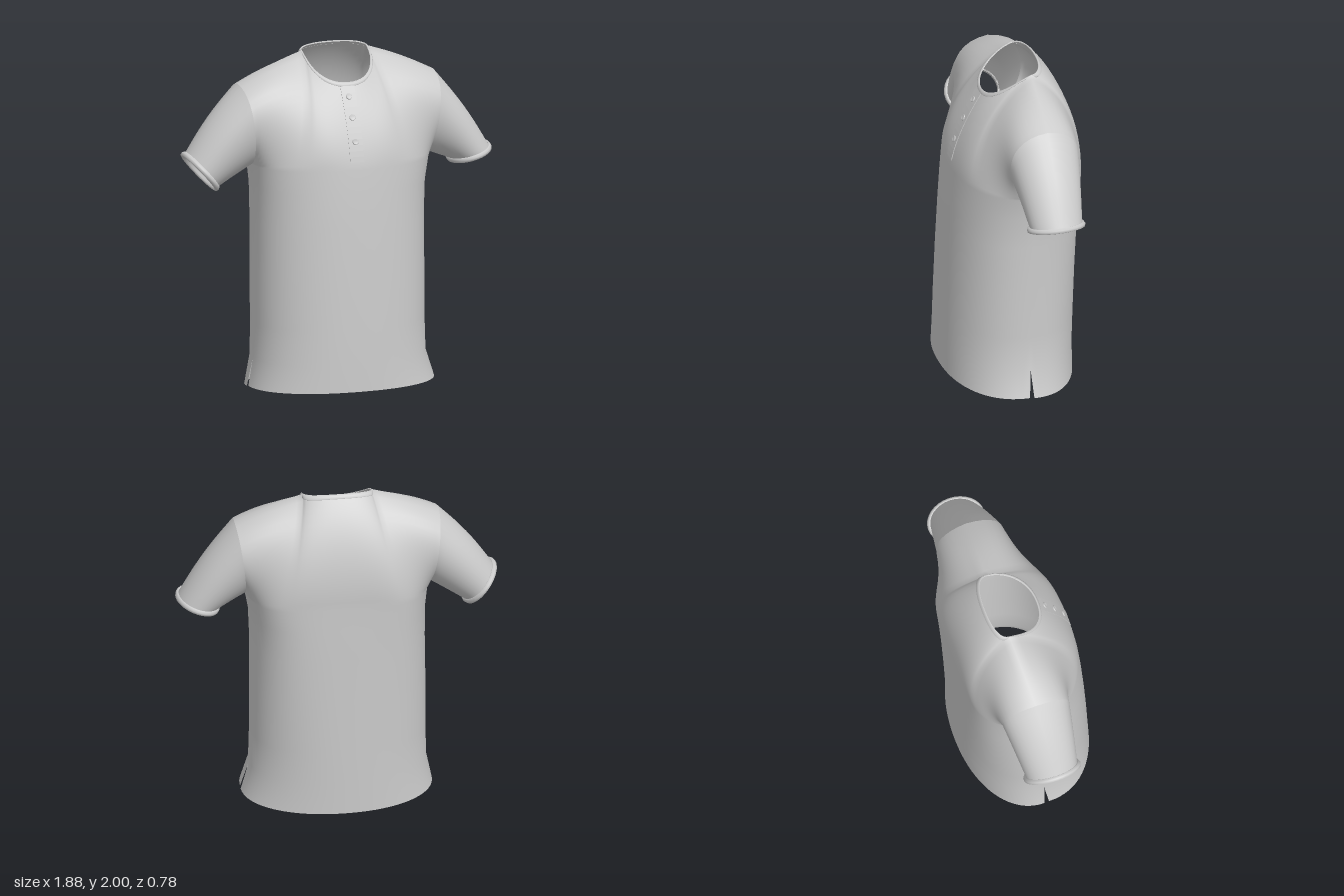
import * as THREE from 'three';
import { mergeGeometries, mergeVertices } from 'three/addons/utils/BufferGeometryUtils.js';

const fabric = new THREE.MeshStandardMaterial({ color: 0xcccccc, side: THREE.DoubleSide });
const { lerp, smoothstep } = THREE.MathUtils;
const V = (x, y, z) => new THREE.Vector3(x, y, z);

// Surface of (nu x nv) cells through f(i, j); flip reverses the facing
function grid(nu, nv, f, flip = false) {
  const pos = [], idx = [];
  for (let j = 0; j <= nv; j++) for (let i = 0; i <= nu; i++) pos.push(...f(i, j).toArray());
  for (let j = 0; j < nv; j++) for (let i = 0; i < nu; i++) {
    const a = j * (nu + 1) + i, b = a + 1, c = a + nu + 1, d = c + 1;
    idx.push(...(flip ? [a, d, b, a, c, d] : [a, b, d, a, d, c]));
  }
  const g = new THREE.BufferGeometry();
  g.setAttribute('position', new THREE.Float32BufferAttribute(pos, 3));
  g.setIndex(idx);
  return g;
}

// Weld coincident points so that normals run smoothly across seams
function smooth(...geos) {
  const g = mergeVertices(mergeGeometries(geos), 1e-4);
  g.computeVertexNormals();
  return g;
}

function add(group, name, geometry) {
  const mesh = new THREE.Mesh(geometry, fabric);
  mesh.name = name;
  group.add(mesh);
  return mesh;
}

// Torso rows: height, half width, front depth, back depth, sideways shift
const ROWS = [
  [0.0, 0.56, 0.4, 0.37, -0.007],
  [0.19, 0.518, 0.398, 0.373, -0.015],
  [0.4, 0.513, 0.392, 0.376, -0.015],
  [0.7, 0.513, 0.38, 0.378, -0.013],
  [1.0, 0.51, 0.365, 0.38, -0.01],
  [1.2, 0.515, 0.352, 0.381, -0.006],
  [1.34, 0.535, 0.338, 0.38, 0],
];
const NECK = 0.4; // share of the columns that end at the neckline
const COLS = 40, YOKE = 16;

// Body point: s runs -1..1 across the panel
function bodyPoint(front, s, row) {
  const [y, w, zf, zb, cx] = ROWS[row];
  const th = s * Math.PI / 2, e = front ? 0.9 : lerp(0.95, 0.8, y / 1.34);
  const c = Math.max(0, Math.cos(th)), sn = Math.sin(th);
  const x = cx + w * Math.sign(sn) * Math.abs(sn) ** e;
  const depth = Math.abs(s) > 0.999 ? 0 : c ** e;
  const blades = 0.035 * (y / 1.34) ** 2 * Math.sin(2 * th) ** 2;
  const z = (front ? zf * depth : -zb * depth - blades) - 0.03 * (y / 1.34) * (1 - depth);
  if (row > 0) return V(x, y, z);
  // hem, with the panels parted at the side slits
  const slit = 0.013 * (1 - depth);
  return front ? V(x, 0.025 + 0.008 * depth, z + slit) : V(x, 0.02 * (1 - depth), z - slit);
}

// Neckline and shoulder seam
function topPoint(front, s) {
  const a = Math.abs(s), sg = Math.sign(s);
  if (a <= NECK) {
    const p = s / NECK * Math.PI / 2, c = Math.max(0, Math.cos(p)), sn = Math.sin(p);
    const x = 0.2 * Math.sign(sn) * Math.abs(sn) ** 0.9;
    return front ? V(x, 1.975 - 0.155 * c, -0.1 + 0.24 * c ** 0.8)
      : V(x, 1.975 + 0.02 * c, -0.1 - 0.08 * c ** 0.8);
  }
  const k = (a - NECK) / (1 - NECK);
  return V(sg * lerp(0.2, 0.6, k), lerp(1.975, 1.81, k) + 0.012 * Math.sin(Math.PI * k), lerp(-0.1, -0.08, k));
}

// Chest and shoulder blades: curve from the armpit row up to the top edge,
// turning into half of a rounded armhole at the sides
function yokePoint(front, s, t) {
  const a = Math.abs(s), p = bodyPoint(front, s, ROWS.length - 1), q = topPoint(front, s);
  const k = lerp(front ? 0.44 : 0.62, 0.52, a);
  const c = V((p.x + q.x) / 2, lerp(p.y, q.y, k), front ? lerp(0.31, 0.33, a) : lerp(-0.41, -0.44, a));
  const round = smoothstep(a, 0.15, 1);
  const c1 = p.clone().lerp(c, 2 / 3)
    .lerp(V(lerp(p.x, q.x, 0.15), lerp(p.y, q.y, 0.06), front ? 0.15 : -0.31), round);
  const c2 = q.clone().lerp(c, 2 / 3)
    .lerp(V(lerp(p.x, q.x, 0.85), lerp(p.y, q.y, 0.95), front ? 0.25 : -0.38), round);
  return new THREE.CubicBezierCurve3(p, c1, c2, q).getPoint(t);
}

function panel(front) {
  const n = ROWS.length - 1;
  return grid(COLS, n + YOKE, (i, j) => {
    const s = i / COLS * 2 - 1;
    return j <= n ? bodyPoint(front, s, j) : yokePoint(front, s, (j - n) / YOKE);
  }, !front);
}

// Collar band: a thin strip that follows the neckline
function collar(front) {
  const section = [[0.96, -0.001], [0.962, 0.004], [0.98, 0.005], [1, 0.004], [1, -0.004]];
  return grid(24, section.length - 1, (i, j) => {
    const s = (i / 24 * 2 - 1) * NECK, [t, lift] = section[j];
    const p = yokePoint(front, s, t);
    const out = V(p.x * 2, 0.35, p.z + 0.06).normalize();
    return p.addScaledVector(out, lift);
  }, !front);
}

// Sleeve: armhole loop blended into the cuff ellipse, then a rolled rim
function sleeve(side, cx, cy, ax, ay) {
  const n = 32, len = 10;
  const d = V(side * ay, -Math.abs(ax), 0).normalize();
  const cuff = (i, scale, along) => {
    const a = i / n * Math.PI * 2;
    return V(cx - ax * scale * Math.cos(a), cy - ay * scale * Math.cos(a), -0.065 + 0.155 * scale * Math.sin(a))
      .addScaledVector(d, along);
  };
  const armhole = i => (i <= n / 2 ? yokePoint(true, side, i / (n / 2)) : yokePoint(false, side, 2 - i / (n / 2)));
  const tube = grid(n, len, (i, j) => {
    const t = j / len, up = (1 - Math.cos(i / n * Math.PI * 2)) / 2;
    const bulge = 0.012 * Math.sin(Math.PI * t) * up;
    return armhole(i).lerp(cuff(i, 1, 0), t).add(V(side * bulge, bulge, 0));
  }, side < 0);
  const roll = [[1, -0.008], [1.07, -0.01], [1.12, 0.004], [1.1, 0.018], [1.02, 0.022], [0.95, 0.012], [0.94, -0.02]];
  const rim = grid(n, roll.length - 1, (i, j) => cuff(i, ...roll[j]), side < 0);
  return [smooth(tube), smooth(rim)];
}

export function createModel() {
  const shirt = new THREE.Group();
  shirt.name = 'shirt';

  add(shirt, 'torso', smooth(panel(true), panel(false)));
  add(shirt, 'collar', smooth(collar(true), collar(false)));

  // The two sleeves hang a little differently
  for (const [name, ...shape] of [
    ['left', 1, 0.812, 1.308, 0.114, 0.036],
    ['right', -1, -0.832, 1.314, -0.086, 0.101],
  ]) {
    const [tube, rim] = sleeve(...shape);
    add(shirt, name + 'Sleeve', tube);
    add(shirt, name + 'Cuff', rim);
  }

  // Button placket down the centre of the chest
  const across = [[-0.05, -0.006], [-0.05, 0.003], [0.035, 0.004], [0.035, -0.006]];
  const placket = grid(3, 12, (i, j) => {
    const [x, lift] = across[i], p = yokePoint(true, 0, lerp(0.11, 0.97, j / 12));
    return V(x, p.y, p.z + lift);
  }).toNonIndexed();
  placket.computeVertexNormals();
  add(shirt, 'placket', placket);

  // Buttons with a raised edge
  const profile = [[0.0181, 0], [0.018, 0.006], [0.015, 0.008], [0.011, 0.005], [0, 0.005]];
  const button = new THREE.LatheGeometry(profile.map(p => new THREE.Vector2(...p)), 16);
  for (const t of [0.365, 0.64, 0.86]) {
    const p = yokePoint(true, 0, t), run = yokePoint(true, 0, t + 0.02).sub(p);
    const mesh = add(shirt, 'button', button);
    const normal = V(0, -run.z, run.y).normalize();
    mesh.position.set(-0.009, p.y, p.z).addScaledVector(normal, 0.002);
    mesh.quaternion.setFromUnitVectors(V(0, 1, 0), normal);
  }
  return shirt;
}
